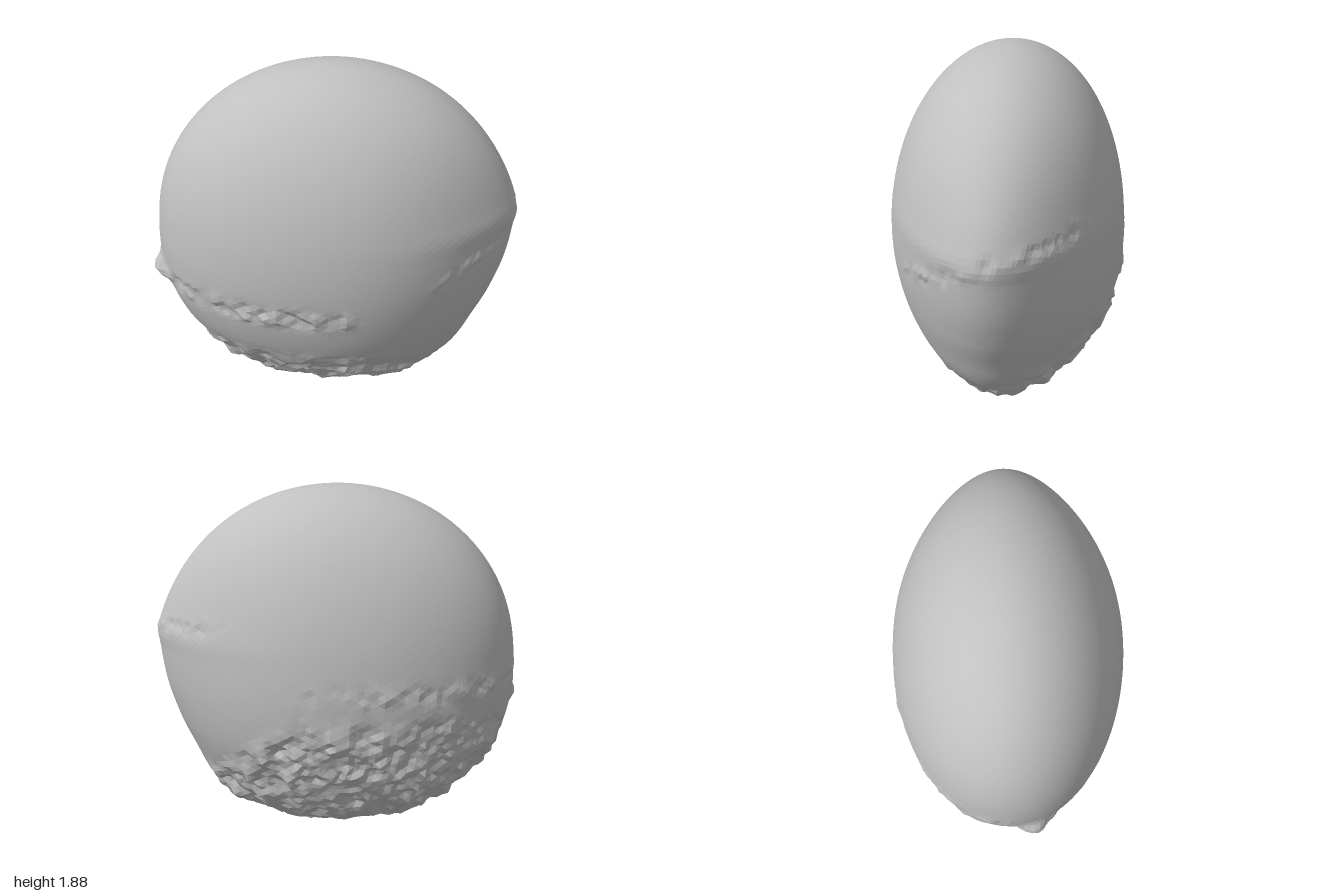
import * as THREE from 'three';

// Half-widths of the body by height, as ratios to a plain ellipsoid of height 1.87
const HEIGHTS = [0.02, 0.1, 0.2, 0.4, 0.6, 0.8, 1.0, 1.1, 1.2, 1.4, 1.6, 1.8, 1.89];
const profile = (...ratios) => new THREE.CubicInterpolant(HEIGHTS, ratios, 1);
const POINTED = profile(1.15, 1.25, 1.12, 0.98, 0.957, 0.967, 0.988, 1.012, 1.003, 0.99, 0.985, 0.985, 0.985);
const ROUND = profile(1.06, 1.06, 1.05, 1.02, 0.995, 0.975, 0.963, 0.963, 0.965, 0.97, 0.975, 0.98, 0.98);
const FRONT = profile(0.69, 0.69, 0.68, 0.665, 0.65, 0.642, 0.636, 0.634, 0.632, 0.63, 0.628, 0.626, 0.626);
const BACK = profile(0.7, 0.7, 0.71, 0.685, 0.665, 0.645, 0.63, 0.626, 0.623, 0.62, 0.62, 0.62, 0.62);
const ratio = (table, y) => table.evaluate(y)[0];

// Smooth value noise from -1 to 1
function hash(x, y, z) {
  const s = Math.sin(x * 127.1 + y * 311.7 + z * 74.7) * 43758.5453;
  return (s - Math.floor(s)) * 2 - 1;
}
function noise(x, y, z) {
  const ix = Math.floor(x), iy = Math.floor(y), iz = Math.floor(z);
  const ease = (t) => t * t * (3 - 2 * t);
  const u = ease(x - ix), v = ease(y - iy), w = ease(z - iz);
  let sum = 0;
  for (let a = 0; a < 2; a++) for (let b = 0; b < 2; b++) for (let c = 0; c < 2; c++) {
    sum += hash(ix + a, iy + b, iz + c) * (a ? u : 1 - u) * (b ? v : 1 - v) * (c ? w : 1 - w);
  }
  return sum;
}

const bell = (d, width) => Math.exp(-(d * d) / (width * width));
const { smoothstep, lerp } = THREE.MathUtils;

// Smooth egg-shaped body, tapering to a soft point at +x around mid height
function bodyPoint(d) {
  const y = 0.955 + 0.935 * d.y;
  const r = Math.hypot(d.x, d.z);
  const c = r > 1e-6 ? d.x / r : 0;
  const x = d.x * lerp(ratio(ROUND, y), ratio(POINTED, y), smoothstep(c, -0.3, 0.3));
  const pinch = 0.22 * (1 - 0.8 * smoothstep(y, 1.15, 1.75)) * (0.5 + 0.5 * smoothstep(y, 0.2, 0.9));
  const taper = 1 - pinch * Math.pow(Math.max(c, 0), 2.5);
  const z = d.z * ratio(d.z > 0 ? FRONT : BACK, y) * taper;
  return new THREE.Vector3(x, y, z);
}

// Outward offset: chipped underside, broken ridge lines and one small spike
function relief({ x, y, z }) {
  const front = smoothstep(z, -0.3, 0.2);
  const edge = lerp(0.76, 0.43, front) - lerp(0.42, 0.26, front) * smoothstep(x, 0.1, 0.85);
  const rough = 1 - smoothstep(y, edge - 0.16, edge + 0.05);
  const chips = 0.024 * noise(x * 11, y * 14, z * 11) + 0.02 * noise(x * 23 + 9, y * 27, z * 23);

  const frontRidge = z > 0 ? bell(y - 0.7, 0.05) * (1 - smoothstep(x, 0, 0.2)) : 0;
  const backRidge = z < 0 ? bell(y - 0.88, 0.05) * smoothstep(-x, -0.3, 0.1) * 0.6 : 0;
  const creaseY = 1.12 - z * (z > 0 ? 0.55 : 0.13);
  const sideRidge = bell(y - creaseY, 0.04) * smoothstep(x, 0.45, 0.7) * 0.5;
  const ridges = (frontRidge + backRidge + sideRidge) * 0.028 * noise(x * 18, y * 18, z * 18 + 5);

  const spike = 0.07 * bell(Math.hypot(x + 0.94, y - 0.72, z - 0.12), 0.06);
  return rough * chips + ridges + spike;
}

export function createModel() {
  const group = new THREE.Group();
  group.name = 'stone';
  const grey = new THREE.MeshStandardMaterial({ color: 0xc0c0c0, flatShading: true });
  grey.name = 'stone grey';

  const geometry = new THREE.IcosahedronGeometry(1, 29);
  const pos = geometry.attributes.position;
  const d = new THREE.Vector3();
  const out = new THREE.Vector3();
  for (let i = 0; i < pos.count; i++) {
    d.fromBufferAttribute(pos, i).normalize();
    const p = bodyPoint(d);
    out.set(d.x, d.y, d.z * 1.5).normalize();
    p.addScaledVector(out, relief(p));
    pos.setXYZ(i, p.x, p.y, p.z);
  }

  // Rest the lowest chip on the ground
  geometry.computeBoundingBox();
  geometry.translate(0, -geometry.boundingBox.min.y, 0);
  geometry.computeVertexNormals();

  const body = new THREE.Mesh(geometry, grey);
  body.name = 'stoneBody';
  group.add(body);
  return group;
}
